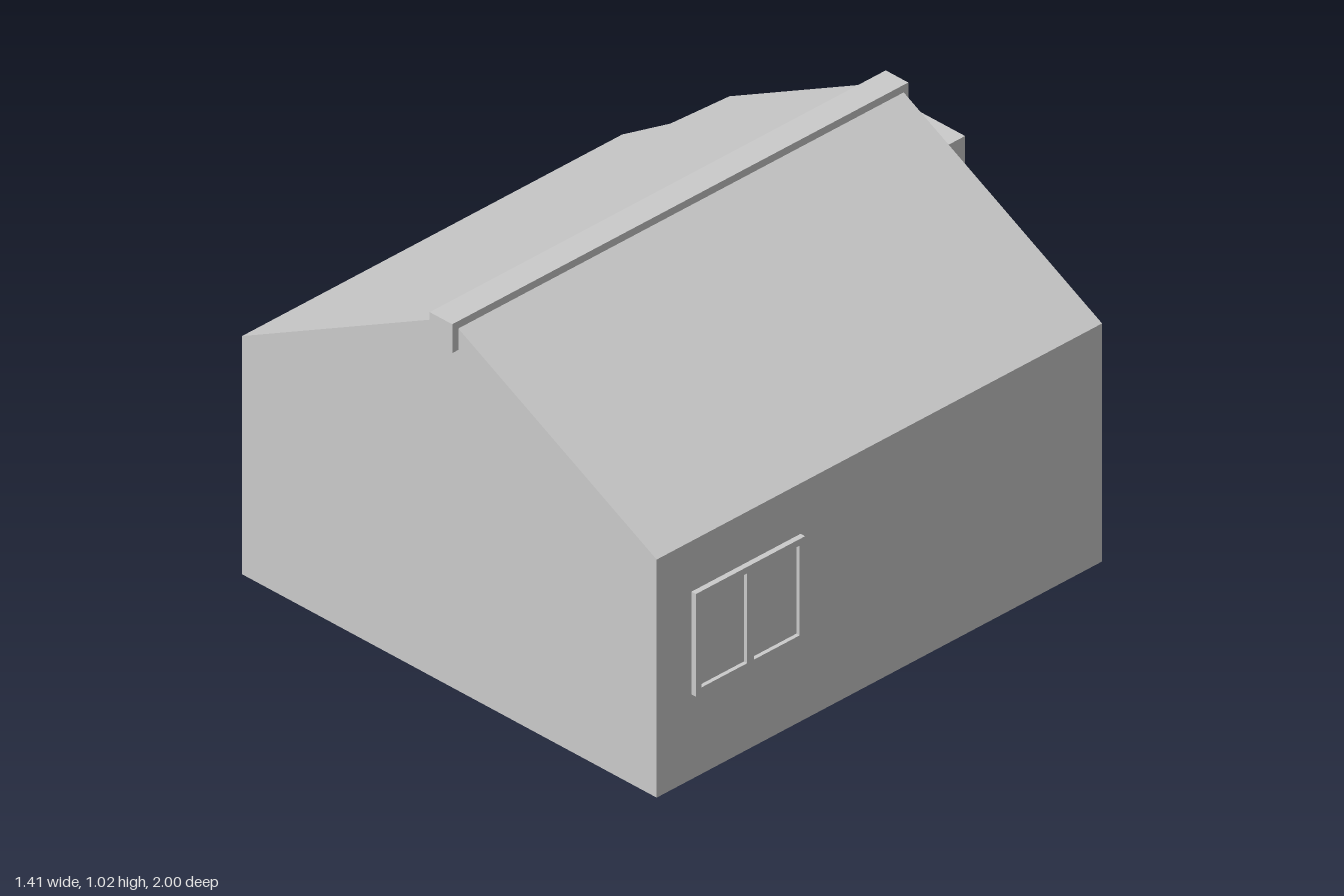
import * as THREE from 'three';

const material = new THREE.MeshStandardMaterial({ color: 0xcccccc, flatShading: true });
const EAVE = 0.66, APEX = 1.02, HALF = 0.69, BACK = -0.49, FRONT = 0.98;
const roofY = (x) => APEX - (APEX - EAVE) * Math.abs(x) / HALF;

function addMesh(parent, name, geometry) {
  const mesh = new THREE.Mesh(geometry, material);
  mesh.name = name;
  parent.add(mesh);
  return mesh;
}

// Box given by its lower and upper corners
function addBox(parent, name, [x0, y0, z0], [x1, y1, z1]) {
  const mesh = addMesh(parent, name, new THREE.BoxGeometry(x1 - x0, y1 - y0, z1 - z0));
  mesh.position.set((x0 + x1) / 2, (y0 + y1) / 2, (z0 + z1) / 2);
  return mesh;
}

function trianglesToGeometry(points) {
  return new THREE.BufferGeometry().setFromPoints(points).toNonIndexed();
}

// Walls, floor and gabled roof raised from two half footprints meeting at x = 0
function addHouse(parent) {
  const halves = [
    [[0, FRONT], [HALF, FRONT], [HALF, BACK], [0, BACK]],
    // the back corner of this half is cut away
    [[0, BACK], [-0.55, BACK], [-0.58, -0.325], [-HALF, -0.275], [-HALF, FRONT], [0, FRONT]],
  ];
  const walls = [], roof = [], floor = [];
  const low = ([x, z]) => new THREE.Vector3(x, 0, z);
  const high = ([x, z]) => new THREE.Vector3(x, roofY(x), z);
  for (const half of halves) {
    for (let i = 0; i < half.length - 1; i++) {
      const a = half[i], b = half[i + 1];
      walls.push(low(a), low(b), high(b), low(a), high(b), high(a));
    }
    const outline = half.map(([x, z]) => new THREE.Vector2(x, -z));
    for (const [a, b, c] of THREE.ShapeUtils.triangulateShape(outline, [])) {
      roof.push(high(half[a]), high(half[b]), high(half[c]));
      floor.push(low(half[a]), low(half[c]), low(half[b]));
    }
  }
  for (const [name, points] of Object.entries({ walls, roof, floor })) {
    const geometry = trianglesToGeometry(points);
    geometry.computeVertexNormals();
    addMesh(parent, name, geometry);
  }
}

function rectangle(path, x0, y0, x1, y1) {
  path.moveTo(x0, y0);
  path.lineTo(x1, y0);
  path.lineTo(x1, y1);
  path.lineTo(x0, y1);
  path.closePath();
  return path;
}

// Two-light window on a side wall; side is +1 or -1 along x
function addWindow(parent, name, side, z0, z1, depth) {
  const group = new THREE.Group();
  group.name = name;
  const w = (z1 - z0) / 2, h = 0.1425, bar = 0.018, mid = 0.011;
  const frame = rectangle(new THREE.Shape(), -w, -h, w, h);
  frame.holes.push(
    rectangle(new THREE.Path(), -w + bar, -h + bar, -mid, h - bar),
    rectangle(new THREE.Path(), mid, -h + bar, w - bar, h - bar),
  );
  addMesh(group, 'windowFrame', new THREE.ExtrudeGeometry(frame, { depth, bevelEnabled: false }));
  for (const s of [-1, 1]) {
    const pane = addMesh(group, 'windowPane', new THREE.BoxGeometry(w - bar - mid, 2 * (h - bar), 0.004));
    pane.position.set(s * (w - bar + mid) / 2, 0, 0.002);
  }
  group.position.set(side * HALF, 0.3775, (z0 + z1) / 2);
  group.rotation.y = side * Math.PI / 2;
  parent.add(group);
}

export function createModel() {
  const model = new THREE.Group();
  model.name = 'house';
  addHouse(model);
  addBox(model, 'ridgeBeam', [-0.045, 0.945, -0.505], [0.03, 1.025, 1]);
  addBox(model, 'rearAnnex', [-0.55, 0, -1], [-0.28, 0.517, BACK]);
  addWindow(model, 'leftWindow', 1, 0.505, 0.865, 0.015);
  addWindow(model, 'rightWindow', -1, 0.245, 0.63, 0.018);
  return model;
}
